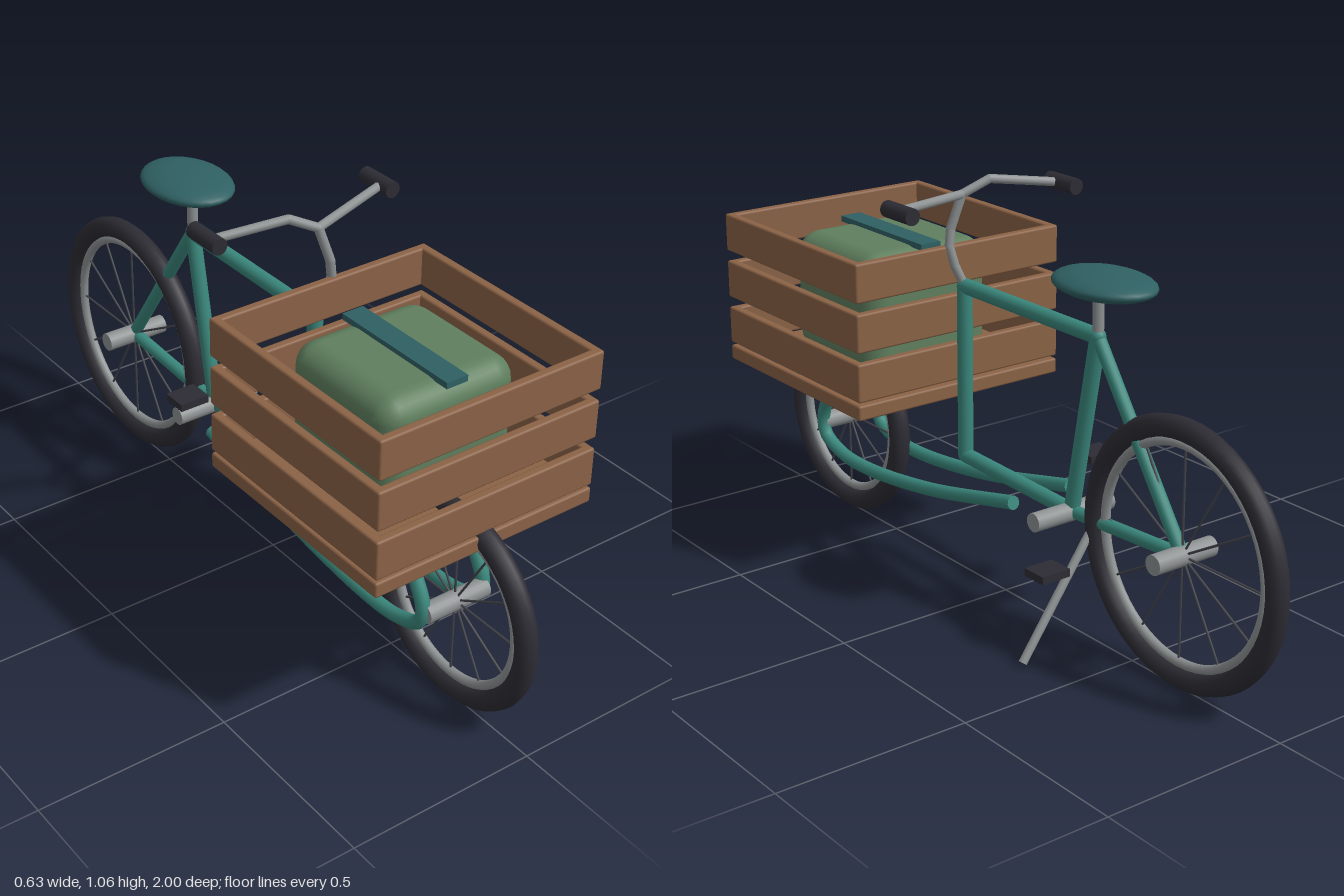
import * as THREE from 'three';
import { RoundedBoxGeometry } from 'three/addons/geometries/RoundedBoxGeometry.js';

const V = (x, y, z) => new THREE.Vector3(x, y, z);
const paint = (name, color) => Object.assign(new THREE.MeshStandardMaterial({ color }), { name });

export function createModel() {
  const teal = paint('tealFrame', 0x3a877c);
  const darkTeal = paint('darkTeal', 0x2f6063);
  const wood = paint('wood', 0x8a6246);
  const canvas = paint('greenCanvas', 0x5f7f5e);
  const rubber = paint('rubber', 0x2d2c34);
  const metal = paint('metal', 0x8d9192);
  const spokeMetal = paint('spokeMetal', 0x45464c);

  const model = new THREE.Group();
  model.name = 'cargoBicycle';

  function add(name, geometry, material, position = V(0, 0, 0), parent = model) {
    const mesh = new THREE.Mesh(geometry, material);
    mesh.name = name;
    mesh.position.copy(position);
    parent.add(mesh);
    return mesh;
  }

  // Straight round bar between two points
  function bar(name, a, b, r, material, parent = model, sides = 14) {
    const dir = b.clone().sub(a);
    const mid = a.clone().add(b).multiplyScalar(0.5);
    const mesh = add(name, new THREE.CylinderGeometry(r, r, dir.length(), sides), material, mid, parent);
    mesh.quaternion.setFromUnitVectors(V(0, 1, 0), dir.normalize());
    return mesh;
  }

  // Chain of bars with rounded joints
  function barChain(name, points, r, material) {
    const group = new THREE.Group();
    group.name = name;
    points.forEach((p, i) => {
      if (i) bar(name + 'Segment', points[i - 1], p, r, material, group);
      add(name + 'Joint', new THREE.SphereGeometry(r, 14, 10), material, p, group);
    });
    model.add(group);
  }

  // Wheels: tyre, rim, spokes and hub, turning about x
  function wheel(name, center, radius) {
    const group = new THREE.Group();
    group.name = name;
    group.position.copy(center);
    const t = 0.028;
    const tyre = add('tyre', new THREE.TorusGeometry(radius - t, t, 12, 56), rubber, V(0, 0, 0), group);
    const rim = add('rim', new THREE.TorusGeometry(radius - 2 * t - 0.008, 0.012, 8, 56), metal, V(0, 0, 0), group);
    tyre.rotation.y = rim.rotation.y = Math.PI / 2;
    for (let i = 0; i < 12; i++) {
      const a = i * Math.PI / 6;
      const end = V(0, Math.sin(a), Math.cos(a)).multiplyScalar(radius - 2 * t - 0.01);
      bar('spoke', V(0, 0, 0), end, 0.003, spokeMetal, group, 6);
    }
    bar('hub', V(-0.09, 0, 0), V(0.09, 0, 0), 0.025, metal, group, 18);
    model.add(group);
  }
  const rearHub = V(0, 0.34, -0.663);
  wheel('frontWheel', V(0, 0.281, 0.723), 0.275);
  wheel('rearWheel', rearHub, 0.335);

  // Main frame
  const headTop = V(0, 0.787, 0.171), headBottom = V(0, 0.328, 0.171);
  const seatTop = V(0, 0.787, -0.353), crank = V(0, 0.317, -0.264);
  barChain('mainFrame', [headBottom, headTop, seatTop, crank, headBottom], 0.02, teal);
  bar('seatStay', seatTop, rearHub, 0.017, teal);
  bar('chainStay', crank, rearHub, 0.017, teal);
  bar('bottomBracket', V(-0.12, 0.316, -0.264), V(0.12, 0.316, -0.264), 0.024, metal, model, 18);

  // Twin cargo rails, sweeping from the floor of the crate round the front hub to the rear
  for (const s of [-1, 1]) {
    const x = 0.09 * s;
    const points = [[0.533, 0.598], [0.46, 0.626], [0.30, 0.716], [0.25, 0.707], [0.215, 0.63],
      [0.207, 0.51], [0.24, 0.22], [0.322, -0.148]].map(([y, z]) => V(x, y, z));
    const path = new THREE.CatmullRomCurve3(points);
    add('cargoRail', new THREE.TubeGeometry(path, 48, 0.018, 12), teal);
    for (const [at, tan] of [[points[0], path.getTangent(0).negate()], [points[7], path.getTangent(1)]]) {
      const cap = add('cargoRailCap', new THREE.CircleGeometry(0.018, 12), teal, at);
      cap.quaternion.setFromUnitVectors(V(0, 0, 1), tan);
    }
  }

  // Crate: floor and three rows of boards
  const crate = new THREE.Group();
  crate.name = 'crate';
  model.add(crate);
  const board = (name, w, h, d, p) => add(name, new RoundedBoxGeometry(w, h, d, 2, 0.006), wood, p, crate);
  const cz = 0.503;
  board('crateFloor', 0.63, 0.04, 0.63, V(0, 0.505, cz));
  for (const y of [0.583, 0.712, 0.841]) {
    for (const s of [-1, 1]) {
      board('crateEndBoard', 0.63, 0.101, 0.024, V(0, y, cz + s * 0.303));
      board('crateSideBoard', 0.024, 0.101, 0.63, V(s * 0.303, y, cz));
    }
  }

  // Cargo bag and its strap
  add('bag', new RoundedBoxGeometry(0.385, 0.33, 0.375, 3, 0.06), canvas, V(0, 0.69, cz));
  add('bagStrap', new THREE.BoxGeometry(0.06, 0.016, 0.375), darkTeal, V(0, 0.859, cz));

  // Saddle
  bar('seatPost', seatTop, V(0, 0.915, -0.353), 0.014, metal);
  add('saddle', new THREE.SphereGeometry(1, 28, 16), darkTeal, V(0, 0.921, -0.373)).scale.set(0.107, 0.031, 0.147);

  // Handlebar, stem and grips
  const clamp = V(0, 1.022, 0.18);
  barChain('stem', [headTop, V(0.022, 0.84, 0.182), V(0.033, 0.89, 0.19), V(0.026, 0.935, 0.193), clamp], 0.012, metal);
  barChain('handlebar', [V(-0.25, 1.032, 0.1), V(-0.07, 1.056, 0.158), clamp, V(0.25, 1.032, 0.1)], 0.0115, metal);
  for (const s of [-1, 1]) {
    bar('grip', V(s * 0.25, 1.032, 0.035), V(s * 0.25, 1.032, 0.142), 0.021, rubber, model, 16);
  }

  // Pedals
  add('rightPedal', new THREE.BoxGeometry(0.083, 0.02, 0.07), rubber, V(-0.132, 0.414, -0.194));
  add('leftPedal', new THREE.BoxGeometry(0.083, 0.02, 0.07), rubber, V(0.132, 0.215, -0.335));

  // Kickstand
  bar('kickstand', V(0, 0.315, -0.352), V(0.228, 0.014, -0.363), 0.011, metal);

  return model;
}
